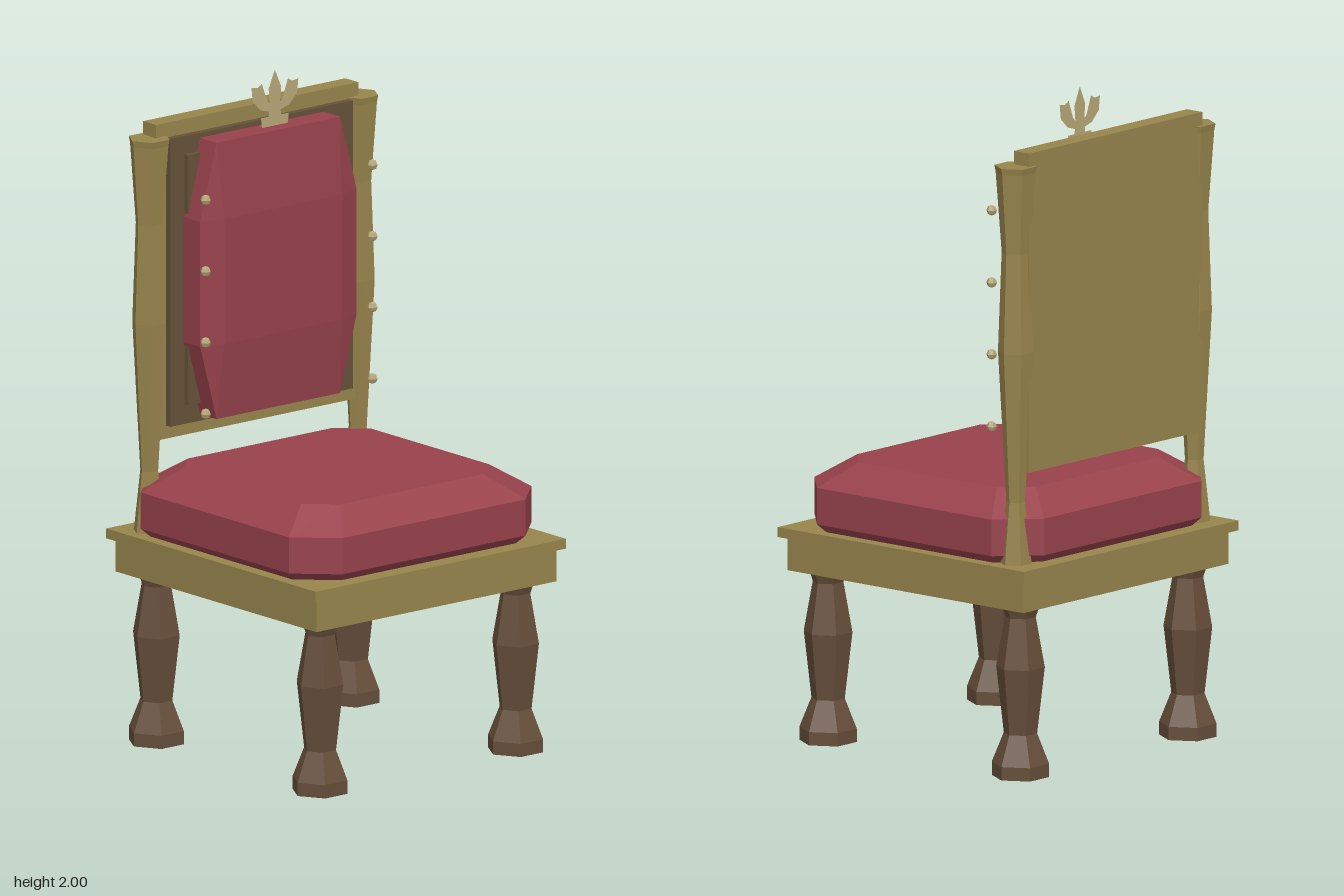
import * as THREE from 'three';

const mat = (name, color) => {
  const m = new THREE.MeshStandardMaterial({ color, flatShading: true });
  m.name = name;
  return m;
};

export function createModel() {
  const gold = mat('antique gold', 0x98854d);
  const red = mat('red upholstery', 0x98424c);
  const wood = mat('dark wood', 0x664e3a);
  const panelBrown = mat('panel brown', 0x665238);
  const brass = mat('pale brass', 0xb8a878);
  const sheetBrass = brass.clone();
  sheetBrass.name = 'pale brass sheet';
  sheetBrass.side = THREE.DoubleSide;

  const model = new THREE.Group();
  model.name = 'diningChair';

  const add = (name, geometry, material, x = 0, y = 0, z = 0) => {
    const mesh = new THREE.Mesh(geometry, material);
    mesh.name = name;
    mesh.position.set(x, y, z);
    model.add(mesh);
    return mesh;
  };

  // Box given by half width, and ranges in y and z
  const slab = (name, material, hx, y0, y1, z0, z1) =>
    add(name, new THREE.BoxGeometry(hx * 2, y1 - y0, z1 - z0), material, 0, (y0 + y1) / 2, (z0 + z1) / 2);

  // Octagonal ring: half sizes hx, hz, with corners cut at cx, cz
  const ring = (y, hx, hz, cx, cz) =>
    [[cx, hz], [hx, cz], [hx, -cz], [cx, -hz], [-cx, -hz], [-hx, -cz], [-hx, cz], [-cx, hz]]
      .map(([x, z]) => new THREE.Vector3(x, y, z));

  // Closed solid through a stack of rings, bottom to top
  const loft = (rings) => {
    const points = [];
    const n = rings[0].length;
    const last = rings[rings.length - 1];
    for (let i = 0; i < rings.length - 1; i++) {
      for (let j = 0; j < n; j++) {
        const k = (j + 1) % n;
        const [a, b, c, d] = [rings[i][j], rings[i][k], rings[i + 1][k], rings[i + 1][j]];
        points.push(a, b, c, a, c, d);
      }
    }
    for (let j = 1; j < n - 1; j++) {
      points.push(last[0], last[j], last[j + 1]);
      points.push(rings[0][0], rings[0][j + 1], rings[0][j]);
    }
    const g = new THREE.BufferGeometry().setFromPoints(points);
    g.computeVertexNormals();
    return g;
  };

  // Six-sided turned piece with corners on the x axis
  const turned = (profile) => {
    const pts = [[0, profile[0][1]], ...profile, [0, profile[profile.length - 1][1]]];
    return new THREE.LatheGeometry(pts.map(([r, y]) => new THREE.Vector2(r, y)), 6, Math.PI / 6);
  };

  // Seat frame with overhanging trim
  slab('seatFrame', gold, 0.46, 0.515, 0.615, -0.46, 0.46);
  slab('seatTrim', gold, 0.48, 0.615, 0.645, -0.48, 0.48);

  // Seat cushion
  add('seatCushion', loft([
    ring(0.645, 0.44, 0.425, 0.335, 0.325),
    ring(0.67, 0.465, 0.448, 0.352, 0.34),
    ring(0.78, 0.465, 0.448, 0.352, 0.34),
    ring(0.85, 0.36, 0.348, 0.275, 0.27),
  ]), red);

  // Turned legs and back posts
  const legGeo = turned([[0.086, 0], [0.086, 0.04], [0.05, 0.13], [0.073, 0.33], [0.046, 0.48], [0.058, 0.515]]);
  const postGeo = turned([[0.048, 0.645], [0.028, 0.83], [0.053, 1.28], [0.042, 1.58], [0.06, 1.82], [0.064, 1.84]]);
  for (const side of [-1, 1]) {
    const label = side > 0 ? 'left' : 'right';
    add(label + 'FrontLeg', legGeo, wood, side * 0.375, 0, 0.375);
    add(label + 'BackLeg', legGeo, wood, side * 0.375, 0, -0.375);
    add(label + 'BackPost', postGeo, gold, side * 0.4, 0, -0.378);
  }

  // Backrest: gold board, brown panel and raised inner panel
  slab('backBoard', gold, 0.388, 0.92, 1.88, -0.42, -0.361);
  slab('backPanel', panelBrown, 0.35, 0.96, 1.835, -0.361, -0.34);
  slab('innerPanel', panelBrown, 0.297, 1.02, 1.78, -0.34, -0.323);

  // Back cushion, lofted upward then turned to face forward
  const backCushion = add('backCushion', loft([
    ring(-0.34, 0.3, 0.42, 0.237, 0.19),
    ring(-0.264, 0.3, 0.42, 0.237, 0.19),
    ring(-0.243, 0.225, 0.19, 0.225, 0.19),
  ]), red, 0, 1.4, 0);
  backCushion.rotation.x = Math.PI / 2;

  // Studs beside the back cushion
  const studGeo = new THREE.SphereGeometry(0.016, 6, 4);
  for (const x of [-0.32, 0.32]) {
    for (const y of [1.02, 1.237, 1.453, 1.67]) add('stud', studGeo, brass, x, y, -0.215);
  }

  // Thin three-petalled crest, one half mirrored
  const half = [[0, 2], [0.024, 1.945], [0.02, 1.9], [0.03, 1.91], [0.05, 1.965], [0.066, 1.955],
    [0.09, 1.958], [0.085, 1.915], [0.055, 1.885], [0.022, 1.875], [0.024, 1.86], [0.053, 1.86], [0.05, 1.83]];
  const outline = [...half, ...half.slice(1).reverse().map(([x, y]) => [-x, y])];
  const crest = new THREE.Shape(outline.map(([x, y]) => new THREE.Vector2(x, y)));
  add('crest', new THREE.ShapeGeometry(crest), sheetBrass, 0, 0, -0.28);

  return model;
}
